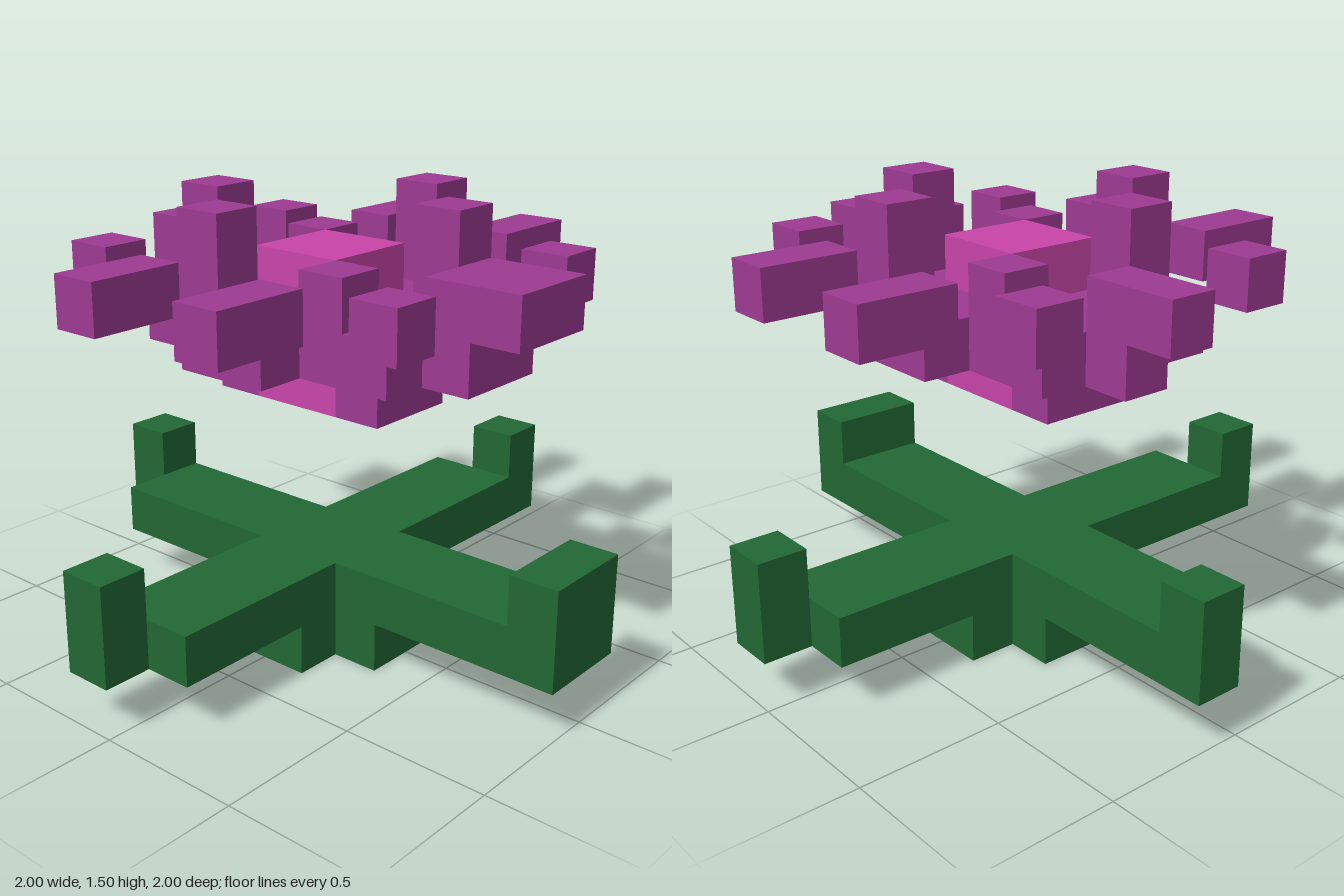
import * as THREE from 'three';

const U = 1 / 6; // one block

export function createModel() {
  const mat = (name, color) => {
    const m = new THREE.MeshStandardMaterial({ color });
    m.name = name;
    return m;
  };
  const green = mat('leafGreen', 0x216834);
  const purple = mat('petalPurple', 0x9d3a92);
  const pink = mat('heartPink', 0xc945a9);

  const model = new THREE.Group();
  model.name = 'blockFlower';
  const leaves = new THREE.Group();
  leaves.name = 'leaves';
  const blossom = new THREE.Group();
  blossom.name = 'blossom';
  model.add(leaves, blossom);

  // Box given by its limits, in blocks
  const block = (parent, name, material, x0, x1, y0, y1, z0, z1) => {
    const geo = new THREE.BoxGeometry((x1 - x0) * U, (y1 - y0) * U, (z1 - z0) * U);
    const mesh = new THREE.Mesh(geo, material);
    mesh.name = name;
    mesh.position.set((x0 + x1) / 2 * U, (y0 + y1) / 2 * U, (z0 + z1) / 2 * U);
    parent.add(mesh);
  };
  // Same box on both sides, turned half a circle about the vertical axis
  const pair = (parent, name, material, x0, x1, y0, y1, z0, z1) => {
    block(parent, name, material, x0, x1, y0, y1, z0, z1);
    block(parent, name, material, -x1, -x0, y0, y1, -z1, -z0);
  };

  // Leaf cross: stepped foot, four arms and upturned tips
  block(leaves, 'foot', green, -2, 2, 0, 1, -1, 1);
  pair(leaves, 'footSide', green, -1, 1, 0, 1, 1, 2);
  block(leaves, 'sideArms', green, -5, 5, 1, 2, -1, 1);
  pair(leaves, 'frontArm', green, -1, 1, 1, 2, 1, 5);
  pair(leaves, 'frontTip', green, -1, 0, 1, 3, 5, 6);
  block(leaves, 'leftTip', green, 5, 6, 1, 3, -1, 1);
  block(leaves, 'rightTip', green, -6, -5, 1, 3, -1, 0);

  // Flower heart and the cup around it
  block(blossom, 'heart', pink, -1, 1, 5, 8, -1, 1);
  pair(blossom, 'cupSide', purple, 1, 2, 5, 6, -1, 1);
  pair(blossom, 'cupHalf', purple, -3, 3, 6, 7, 1, 2);
  pair(blossom, 'cupFloor', purple, 1, 3, 6, 7, -1, 1);
  pair(blossom, 'cupLip', purple, -1, 1, 6, 7, 2, 3);
  block(blossom, 'leftPetalBase', purple, 3, 4, 6, 7, -1, 1);
  block(blossom, 'rightPetalBase', purple, -4, -3, 6, 7, -1, 0);

  // Upright inner petals, in a pinwheel
  pair(blossom, 'frontStamen', purple, -1, 0, 7, 9, 2, 3);
  pair(blossom, 'sideStamen', purple, 2, 3, 7, 9, -1, 0);
  pair(blossom, 'innerBud', purple, 1, 2, 7, 8, 1, 2);

  // Outer petals
  block(blossom, 'leftPetal', purple, 3, 5, 7, 8, -1, 1);
  block(blossom, 'rightPetal', purple, -5, -3, 7, 8, -1, 0);
  for (const x of [-2, 1]) pair(blossom, 'longPetal', purple, x, x + 1, 7, 8, 3, 5);
  for (const x of [-4, 3]) pair(blossom, 'cornerPetal', purple, x, x + 1, 7, 8, 2, 3);

  return model;
}
